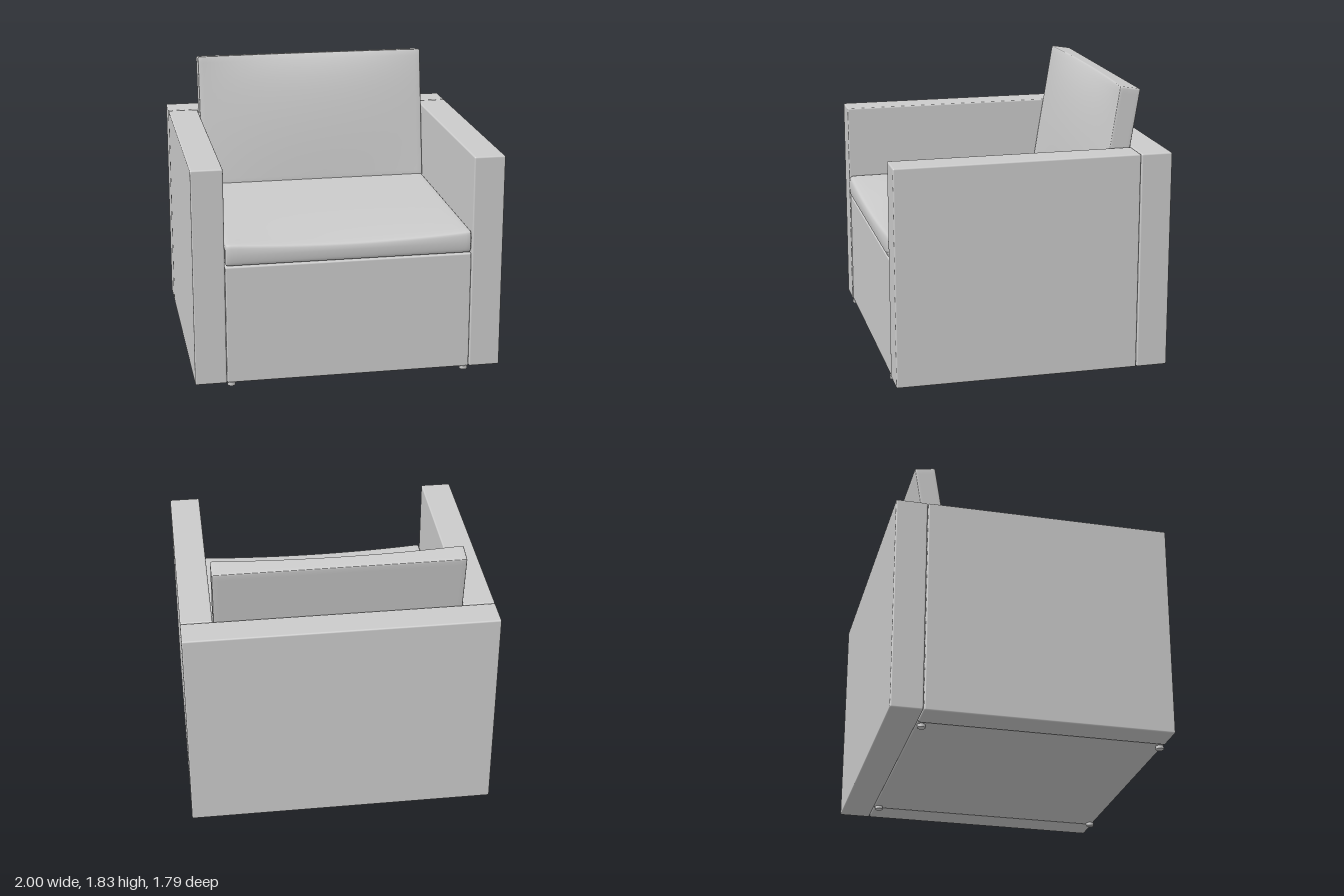
import * as THREE from 'three';
import { RoundedBoxGeometry } from 'three/addons/geometries/RoundedBoxGeometry.js';
import { mergeVertices } from 'three/addons/utils/BufferGeometryUtils.js';

const material = new THREE.MeshStandardMaterial({ color: 0xcccccc });

function part(name, geometry, parent) {
  const mesh = new THREE.Mesh(geometry, material);
  mesh.name = name;
  parent.add(mesh);
  return mesh;
}

// Upholstered panel given by its two opposite corners
function panel(name, min, max, parent) {
  const size = max.map((v, i) => v - min[i]);
  const mesh = part(name, new RoundedBoxGeometry(...size, 3, 0.01), parent);
  mesh.position.set(...max.map((v, i) => (v + min[i]) / 2));
  return mesh;
}

// Soft box with rounded edges; deform(p, u) adjusts each point, u = position from -1 to 1
function cushionGeometry(w, h, d, radius, deform) {
  const half = new THREE.Vector3(w / 2, h / 2, d / 2);
  const inner = half.clone().subScalar(radius);
  let geometry = new THREE.BoxGeometry(2, 2, 2, 20, 14, 14);
  geometry.deleteAttribute('normal');
  geometry.deleteAttribute('uv');
  geometry = mergeVertices(geometry);
  const pos = geometry.attributes.position;
  const p = new THREE.Vector3(), core = new THREE.Vector3(), u = new THREE.Vector3();
  const spread = (t) => Math.sin((t * Math.PI) / 2);
  for (let i = 0; i < pos.count; i++) {
    p.fromBufferAttribute(pos, i);
    p.set(spread(p.x), spread(p.y), spread(p.z)).multiply(half);
    core.copy(p).clamp(inner.clone().negate(), inner);
    p.sub(core).setLength(radius).add(core);
    u.copy(p).divide(half);
    deform(p, u);
    pos.setXYZ(i, p.x, p.y, p.z);
  }
  geometry.computeVertexNormals();
  return geometry;
}

export function createModel() {
  const chair = new THREE.Group();
  chair.name = 'armchair';

  // Frame
  panel('base', [-0.795, 0.02, -0.69], [0.795, 0.8, 0.885], chair);
  panel('backPanel', [-1, 0.02, -0.895], [1, 1.44, -0.692], chair);
  panel('leftArm', [0.797, 0.02, -0.688], [1, 1.44, 0.89], chair);
  panel('rightArm', [-1, 0.02, -0.688], [-0.797, 1.44, 0.89], chair);

  // Seat cushion, sagging along the front and slightly full at its face
  const seat = part('seatCushion', cushionGeometry(1.585, 0.15, 1.57, 0.02, (p, u) => {
    const middle = 1 - u.x * u.x;
    if (u.y > 0) p.y -= u.y * 0.03 * middle * Math.max(0, u.z) ** 3;
    if (u.z > 0.95) p.z += 0.012 * (1 - u.y * u.y);
  }), chair);
  seat.position.set(0, 0.878, 0.1);

  // Back cushion, leaning backwards, full below and hollow along its top edge
  const back = part('backCushion', cushionGeometry(1.585, 0.91, 0.14, 0.012, (p, u) => {
    const middle = 1 - u.x * u.x;
    if (u.z > 0) {
      const belly = 0.02 * Math.cos((u.y * Math.PI) / 2);
      const hollow = 0.035 * Math.max(0, u.y) ** 4;
      p.z += u.z * middle * (belly - hollow);
    }
  }), chair);
  back.position.set(0, 1.375, -0.605);
  back.rotation.x = -0.16;

  // Small disc feet
  for (const x of [-0.765, 0.765]) {
    for (const z of [-0.66, 0.865]) {
      const foot = part('foot', new THREE.CylinderGeometry(0.026, 0.026, 0.024, 20), chair);
      foot.position.set(x, 0.012, z);
    }
  }
  return chair;
}
